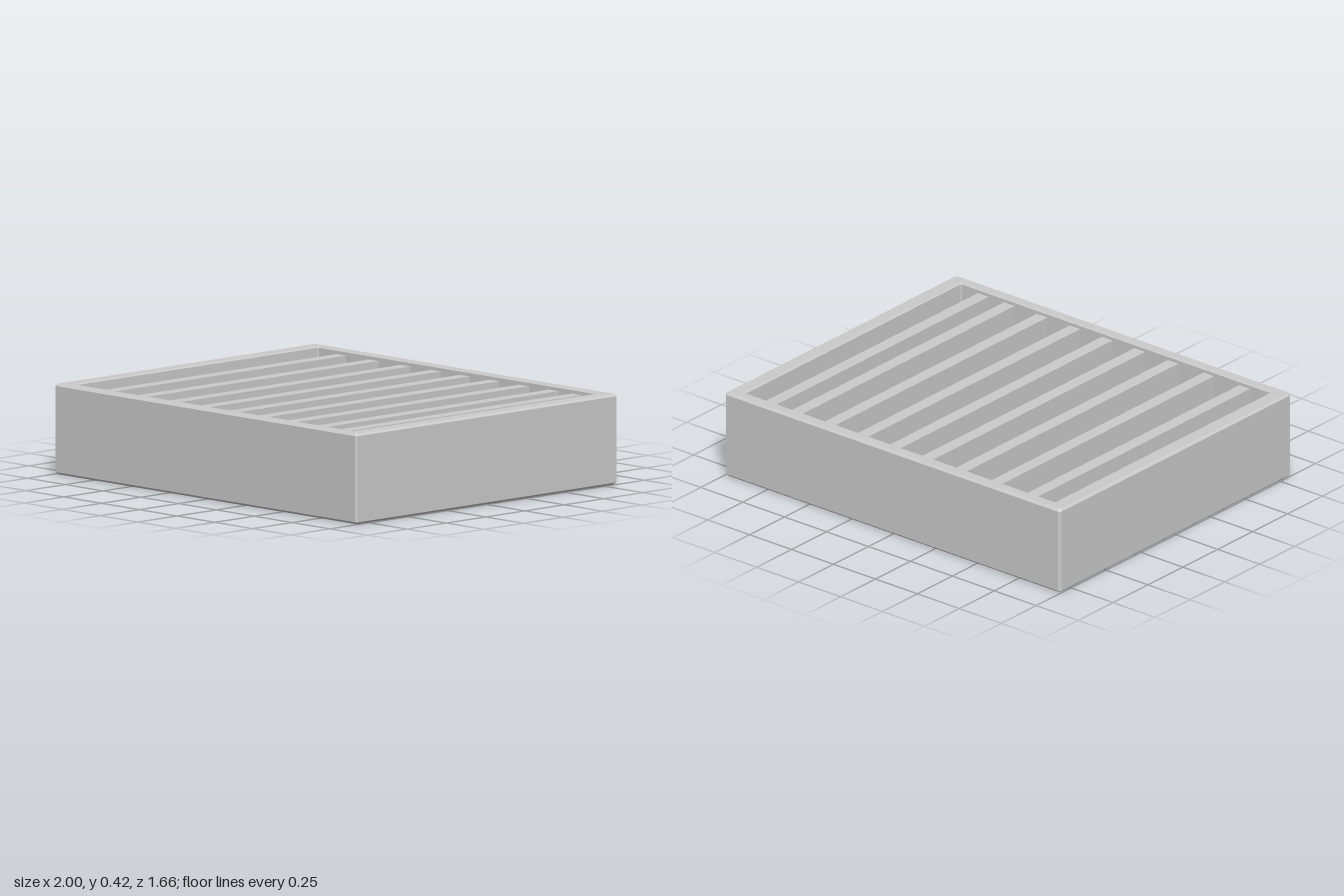
import * as THREE from 'three';

const HEIGHT = 0.42, FLOOR = 0.05;
const INNER_X = 0.922, INNER_Z = 0.772;

// Rectangle with clipped corners, counter-clockwise seen from above
function ring([hx, hz, y, c]) {
  return [
    [hx, hz - c], [hx, -hz + c], [hx - c, -hz], [-hx + c, -hz],
    [-hx, -hz + c], [-hx, hz - c], [-hx + c, hz], [hx - c, hz],
  ].map(([x, z]) => [x, y, z]);
}

// Joins successive rings into a flat-faced skin
function skin(sections) {
  const rings = sections.map(ring);
  const pos = [];
  for (let r = 0; r < rings.length - 1; r++) {
    const a = rings[r], b = rings[r + 1];
    for (let i = 0; i < a.length; i++) {
      const j = (i + 1) % a.length;
      pos.push(...a[i], ...a[j], ...b[j], ...a[i], ...b[j], ...b[i]);
    }
  }
  const geo = new THREE.BufferGeometry();
  geo.setAttribute('position', new THREE.Float32BufferAttribute(pos, 3));
  geo.computeVertexNormals();
  return geo;
}

export function createModel() {
  const group = new THREE.Group();
  group.name = 'dividedTray';
  const material = new THREE.MeshStandardMaterial({ color: 0xcccccc, flatShading: true });

  // Open tray: underside, outer walls, bevelled rim, inner walls, floor
  const b = 0.01;
  const tray = new THREE.Mesh(skin([
    [0, 0, 0, 0],
    [1 - b, 0.83 - b, 0, b],
    [1, 0.83, b, b],
    [1, 0.83, HEIGHT - b, b],
    [1 - b, 0.83 - b, HEIGHT, b],
    [INNER_X + 0.005, INNER_Z + 0.005, HEIGHT, 0.005],
    [INNER_X, INNER_Z, HEIGHT - 0.005, 0.005],
    [INNER_X, INNER_Z, FLOOR, 0.005],
    [0, 0, FLOOR, 0],
  ]), material);
  tray.name = 'tray';
  group.add(tray);

  // Upright dividers running front to back, set just below the rim
  const top = HEIGHT - 0.02, bottom = FLOOR - 0.01;
  const dividerGeo = new THREE.BoxGeometry(0.063, top - bottom, INNER_Z * 2 + 0.01);
  const centres = [-0.768, -0.554, -0.342, -0.142, 0.051, 0.244, 0.44, 0.635, 0.79];
  centres.forEach((x, i) => {
    const divider = new THREE.Mesh(dividerGeo, material);
    divider.name = `divider${i + 1}`;
    divider.position.set(x, (top + bottom) / 2, 0);
    group.add(divider);
  });

  return group;
}
